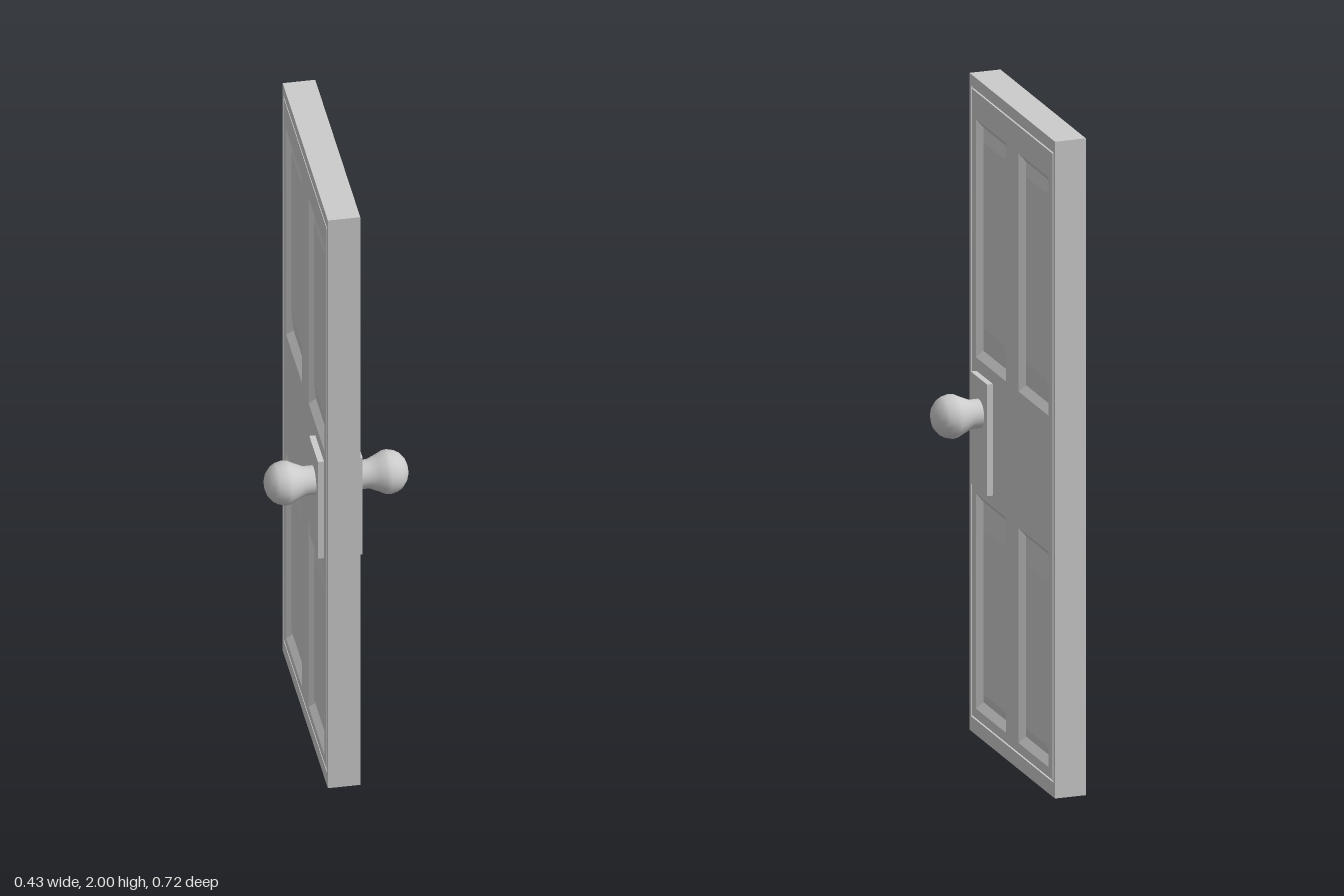
import * as THREE from 'three';

const FACE = 0.048; // half thickness of the door
const material = new THREE.MeshStandardMaterial({ color: 0xcccccc });

function addMesh(parent, name, geometry) {
  const mesh = new THREE.Mesh(geometry, material);
  mesh.name = name;
  parent.add(mesh);
  return mesh;
}

// Rectangle in the z-y plane, shrunk by the given insets
const inset = ([z0, z1, y0, y1], dz, bottom, top = bottom) =>
  [z0 + dz, z1 - dz, y0 + bottom, y1 - top];

// Faceted surface through nested rectangles, each given as { rect, x }
function loftRects(rings, cap = false) {
  const loops = rings.map(({ rect: [z0, z1, y0, y1], x }) =>
    [[x, y0, z0], [x, y1, z0], [x, y1, z1], [x, y0, z1]]);
  const pos = [];
  const quad = (a, b, c, d) => pos.push(...a, ...b, ...c, ...a, ...c, ...d);
  for (let r = 0; r < loops.length - 1; r++) {
    for (let i = 0; i < 4; i++) {
      const j = (i + 1) % 4;
      quad(loops[r][i], loops[r][j], loops[r + 1][j], loops[r + 1][i]);
    }
  }
  if (cap) quad(...loops[loops.length - 1]);
  const geometry = new THREE.BufferGeometry();
  geometry.setAttribute('position', new THREE.Float32BufferAttribute(pos, 3));
  geometry.computeVertexNormals();
  return geometry;
}

function tracePath(path, [z0, z1, y0, y1]) {
  path.moveTo(z0, y0);
  path.lineTo(z1, y0);
  path.lineTo(z1, y1);
  path.lineTo(z0, y1);
  path.closePath();
  return path;
}

// One half of the door leaf, facing +x
function createDoorHalf() {
  const half = new THREE.Group();
  const outline = [-0.36, 0.36, 0, 2];
  const grooveOuter = inset(outline, 0.012, 0.045, 0.035);
  const grooveInner = inset(grooveOuter, 0.007, 0.007);

  // Edges, border and the thin groove around the face
  addMesh(half, 'edgeAndGroove', loftRects([
    { rect: outline, x: 0 },
    { rect: outline, x: FACE },
    { rect: grooveOuter, x: FACE },
    { rect: grooveOuter, x: FACE - 0.006 },
    { rect: grooveInner, x: FACE - 0.006 },
    { rect: grooveInner, x: FACE },
  ]));

  // Four recessed panels with raised, bevelled fields
  const face = tracePath(new THREE.Shape(), grooveInner);
  const rows = [
    { name: 'lowerPanel', y0: 0.08, y1: 0.735, bottom: 0.055, top: 0.105 },
    { name: 'upperPanel', y0: 1.15, y1: 1.875, bottom: 0.1, top: 0.06 },
  ];
  for (const { name, y0, y1, bottom, top } of rows) {
    for (const [z0, z1] of [[0.053, 0.306], [-0.306, -0.053]]) {
      const rect = [z0, z1, y0, y1];
      face.holes.push(tracePath(new THREE.Path(), rect));
      addMesh(half, name, loftRects([
        { rect, x: FACE },
        { rect: inset(rect, 0.01, 0.02, 0.025), x: FACE - 0.02 },
        { rect: inset(rect, 0.042, bottom, top), x: FACE - 0.008 },
      ], true));
    }
  }

  // Flat face between the panels
  const faceGeometry = new THREE.ShapeGeometry(face);
  faceGeometry.rotateY(Math.PI / 2);
  faceGeometry.translate(FACE, 0, 0);
  addMesh(half, 'stilesAndRails', faceGeometry);
  return half;
}

// Backplate with a round knob, pointing along +x
function createHandle() {
  const handle = new THREE.Group();
  const plate = addMesh(handle, 'backplate', new THREE.BoxGeometry(0.018, 0.34, 0.138));
  plate.position.set(FACE + 0.009, 0.94, 0.232);

  const profile = [
    [0.043, 0.06], [0.043, 0.094], [0.055, 0.122], [0.064, 0.14], [0.066, 0.155],
    [0.061, 0.176], [0.053, 0.19], [0.035, 0.205], [0.018, 0.211], [0, 0.213],
  ].map(([r, h]) => new THREE.Vector2(r, h));
  const knob = addMesh(handle, 'knob', new THREE.LatheGeometry(profile, 20));
  knob.rotation.z = -Math.PI / 2;
  knob.position.set(0, 1.003, 0.23);
  return handle;
}

export function createModel() {
  const door = new THREE.Group();
  door.name = 'door';
  for (const side of [1, -1]) {
    const angle = side > 0 ? 0 : Math.PI;
    const half = createDoorHalf();
    half.name = 'doorHalf';
    half.rotation.y = angle;
    door.add(half);

    // Both handles sit near the same edge of the door
    const handle = createHandle();
    handle.name = 'handle';
    handle.rotation.y = angle;
    handle.position.z = side > 0 ? 0 : 0.462;
    door.add(handle);
  }
  return door;
}
